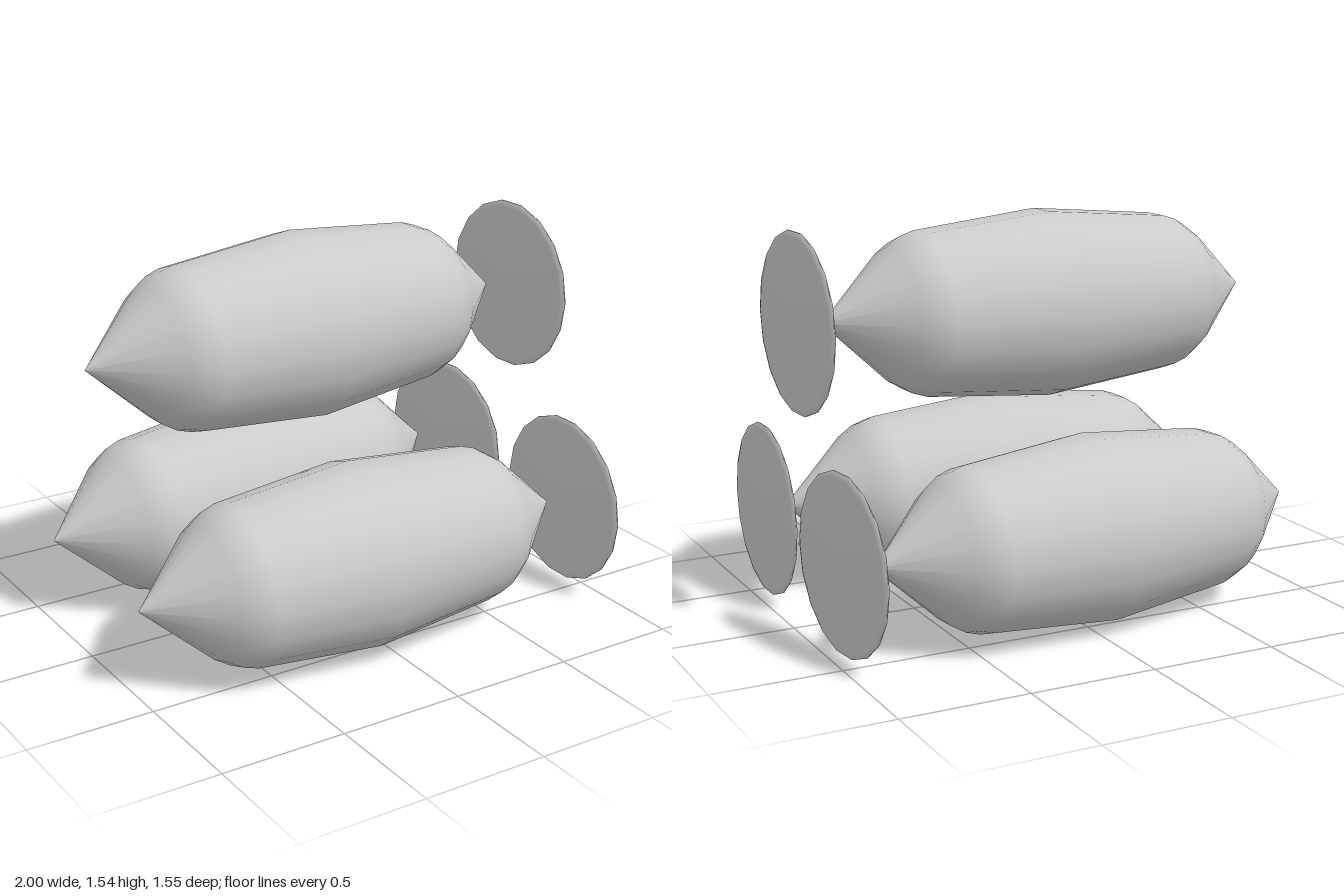
import * as THREE from 'three';

const SIDES = 18;

// Turned solid lying along x, mirrored about its middle; half = [distance, radius] from end to middle
function turned(half) {
  const mirrored = half.filter(([d]) => d > 0).reverse();
  const points = [
    ...half.map(([d, r]) => new THREE.Vector2(r, -d)),
    ...mirrored.map(([d, r]) => new THREE.Vector2(r, d)),
  ];
  return new THREE.LatheGeometry(points, SIDES).rotateZ(-Math.PI / 2);
}

export function createModel() {
  const model = new THREE.Group();
  const material = new THREE.MeshStandardMaterial({ color: 0xcccccc });

  // Bulging body with rounded shoulders and pointed ends
  const bodyGeometry = turned([
    [0.938, 0], [0.655, 0.257], [0.59, 0.297], [0.53, 0.316], [0, 0.367],
  ]);
  // Thin disc with a softened rim
  const discGeometry = turned([
    [0.012, 0], [0.01, 0.325], [0.003, 0.346],
  ]);

  // Two barrels below and one stacked on top, each turned slightly
  const stack = [
    { name: 'frontBarrel', y: 0.365, z: 0.407, yaw: 0 },
    { name: 'rearBarrel', y: 0.365, z: -0.407, yaw: 0.097 },
    { name: 'topBarrel', y: 1.178, z: 0, yaw: 0.048 },
  ];
  for (const { name, y, z, yaw } of stack) {
    const barrel = new THREE.Group();
    barrel.name = name;
    barrel.position.set(0, y, z);

    const body = new THREE.Mesh(bodyGeometry, material);
    body.name = 'body';
    body.position.x = -0.062;
    body.rotation.y = yaw;

    const disc = new THREE.Mesh(discGeometry, material);
    disc.name = 'endDisc';
    disc.position.x = 0.955;
    disc.rotation.y = yaw;

    barrel.add(body, disc);
    model.add(barrel);
  }
  return model;
}
